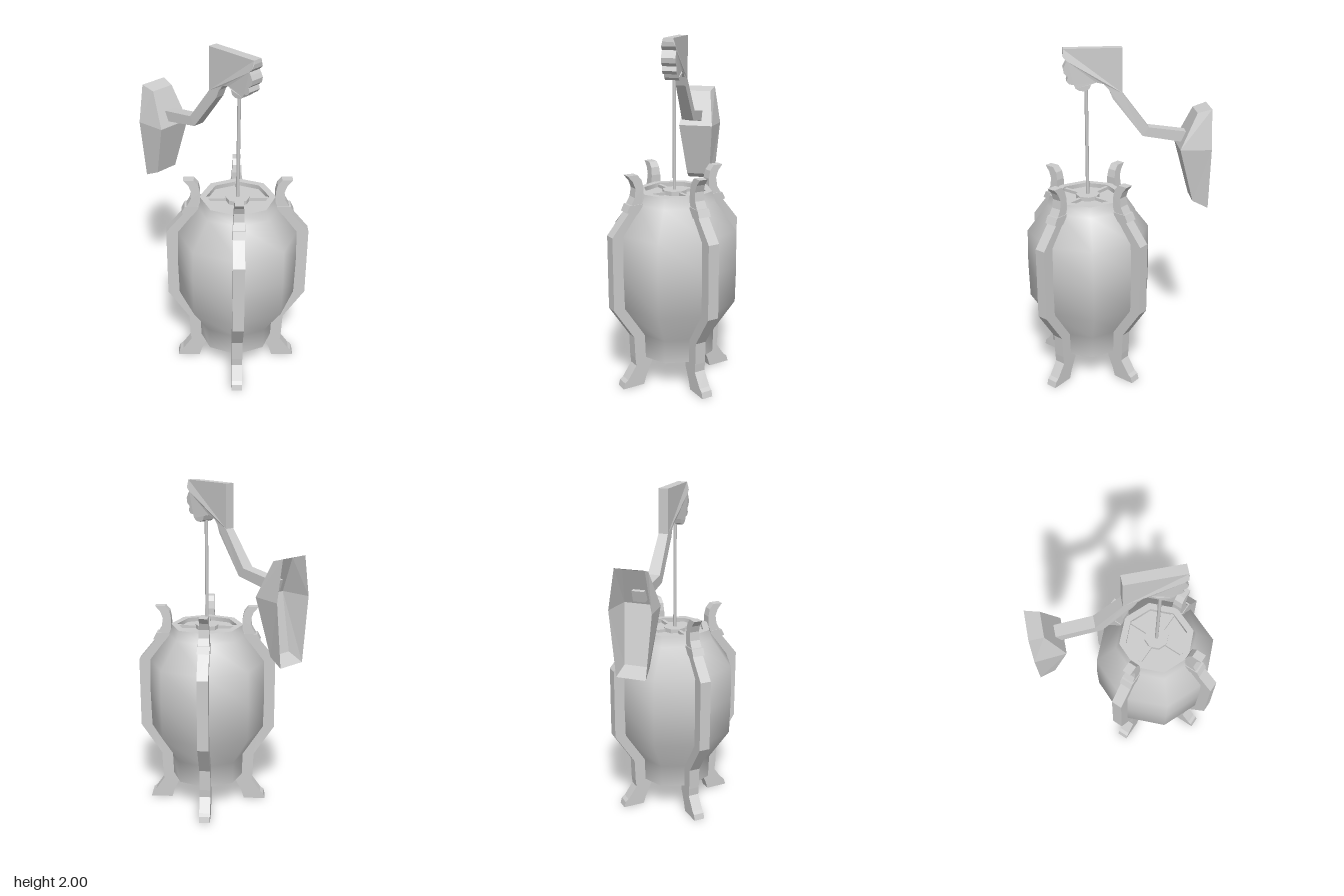
import * as THREE from 'three';

const CZ = 0.17; // vessel axis
const grey = (opts = {}) => new THREE.MeshStandardMaterial({ color: 0xcccccc, ...opts });
const solid = grey();
const thin = grey({ side: THREE.DoubleSide });

function add(parent, name, geometry, material = solid) {
  const mesh = new THREE.Mesh(geometry, material);
  mesh.name = name;
  parent.add(mesh);
  return mesh;
}

// Extrudes an outline; the half thickness at each point comes from a rule
function slab(points, halfWidth) {
  const shape = new THREE.Shape(points.map(([x, y]) => new THREE.Vector2(x, y)));
  const g = new THREE.ExtrudeGeometry(shape, { depth: 1, bevelEnabled: false });
  const p = g.attributes.position;
  for (let i = 0; i < p.count; i++) {
    const h = halfWidth(p.getX(i), p.getY(i));
    p.setZ(i, p.getZ(i) > 0.5 ? h : -h);
  }
  g.computeVertexNormals();
  return g;
}

function createVessel() {
  const vessel = new THREE.Group();
  vessel.name = 'vessel';
  const profile = [[0.23, 0.17], [0.235, 0.31], [0.36, 0.5], [0.365, 0.72], [0.36, 0.93], [0.24, 1.09], [0.22, 1.15]]
    .map(([r, y]) => new THREE.Vector2(r, y));
  add(vessel, 'body', new THREE.LatheGeometry(profile, 8));
  add(vessel, 'bodyBottom', new THREE.CircleGeometry(0.23, 8).rotateX(Math.PI / 2)).position.y = 0.17;

  // Recessed lid with rim, hub and diagonal spokes
  add(vessel, 'rim', new THREE.RingGeometry(0.18, 0.22, 8).rotateX(-Math.PI / 2)).position.y = 1.15;
  add(vessel, 'rimInside', new THREE.CylinderGeometry(0.18, 0.18, 0.025, 8, 1, true), thin).position.y = 1.1375;
  add(vessel, 'lid', new THREE.CircleGeometry(0.18, 8).rotateX(-Math.PI / 2)).position.y = 1.125;
  add(vessel, 'hub', new THREE.CylinderGeometry(0.07, 0.07, 0.025, 8), grey({ flatShading: true })).position.y = 1.137;
  for (const s of [1, -1]) {
    const spoke = add(vessel, 'spoke', new THREE.BoxGeometry(0.35, 0.018, 0.02));
    spoke.position.y = 1.134;
    spoke.rotation.y = s * Math.PI / 4;
  }
  return vessel;
}

// Ribs run up the body: outer edge up, inner edge down
const RIB = [
  [0.23, 0], [0.365, 0], [0.355, 0.035], [0.335, 0.05], [0.28, 0.13], [0.285, 0.18], [0.29, 0.31],
  [0.415, 0.5], [0.415, 0.93], [0.30, 1.07],
  [0.22, 1.07], [0.33, 0.92], [0.33, 0.52], [0.2, 0.31], [0.175, 0.18], [0.178, 0.13], [0.215, 0.05],
];
const COLLAR = [[0.235, 1.04], [0.325, 1.06], [0.305, 1.1], [0.225, 1.1]];
const HORN = [
  [0.235, 1.08], [0.3, 1.09], [0.272, 1.14], [0.265, 1.19], [0.28, 1.23], [0.31, 1.265],
  [0.25, 1.265], [0.225, 1.235], [0.215, 1.19], [0.215, 1.13],
];

function createLeg(angle) {
  const leg = new THREE.Group();
  leg.name = 'leg';
  add(leg, 'rib', slab(RIB, () => 0.033));
  add(leg, 'collar', slab(COLLAR, () => 0.037));
  add(leg, 'horn', slab(HORN, (x, y) => 0.033 - 0.05 * Math.max(0, y - 1.1)));
  leg.rotation.y = angle;
  return leg;
}

// Side outline of the scrolled head and bent arm, as (z, y)
const ARM = [
  [0.295, 2], [-0.03, 2], [-0.03, 1.75], [-0.18, 1.55], [-0.42, 1.515], [-0.4, 1.453], [-0.145, 1.5],
  [0.025, 1.72], [0.045, 1.77], [0.075, 1.803], [0.115, 1.812], [0.145, 1.805], [0.155, 1.78], [0.18, 1.768],
  [0.21, 1.77], [0.232, 1.785], [0.24, 1.805], [0.265, 1.808], [0.28, 1.825], [0.272, 1.85],
  [0.293, 1.868], [0.298, 1.895], [0.285, 1.92], [0.275, 1.935], [0.295, 1.955], [0.298, 1.98],
];
function armHalfWidth(z, y) {
  if (z > 0.14 && y < 1.96) return 0.04; // scroll swells out
  if (z > 0.14) return 0.028;
  return z < -0.1 ? 0.035 : 0.028;
}

// Open-backed dish with a ridged front
function createDish() {
  const rim = [[0.085, 1.658, -0.53], [0.122, 1.43, -0.53], [0.085, 1.062, -0.53]];
  const face = [[0.073, 1.635, -0.45], [0.105, 1.43, -0.353], [0.073, 1.105, -0.44]];
  const mirror = (row) => row.map(([x, y, z]) => [-x, y, z]).reverse();
  const outer = [...rim, ...mirror(rim)];
  const inner = [...face, ...mirror(face)];
  const v = [];
  const quad = (a, b, c, d) => v.push(...a, ...b, ...c, ...a, ...c, ...d);
  for (let i = 0; i < 6; i++) {
    const j = (i + 1) % 6;
    quad(outer[i], inner[i], inner[j], outer[j]);
  }
  quad(inner[0], inner[5], inner[4], inner[1]);
  quad(inner[1], inner[4], inner[3], inner[2]);
  const g = new THREE.BufferGeometry();
  g.setAttribute('position', new THREE.Float32BufferAttribute(v, 3));
  g.computeVertexNormals();
  return g;
}

export function createModel() {
  const model = new THREE.Group();
  model.name = 'footedVessel';

  const base = new THREE.Group();
  base.name = 'base';
  base.position.z = CZ;
  base.add(createVessel());
  for (let i = 0; i < 4; i++) base.add(createLeg(Math.PI / 4 + i * Math.PI / 2));
  add(base, 'rod', new THREE.CylinderGeometry(0.01, 0.01, 0.68, 8)).position.y = 1.48;
  model.add(base);

  add(model, 'scrollArm', slab(ARM, armHalfWidth).rotateY(-Math.PI / 2));
  add(model, 'dish', createDish(), thin);
  return model;
}
